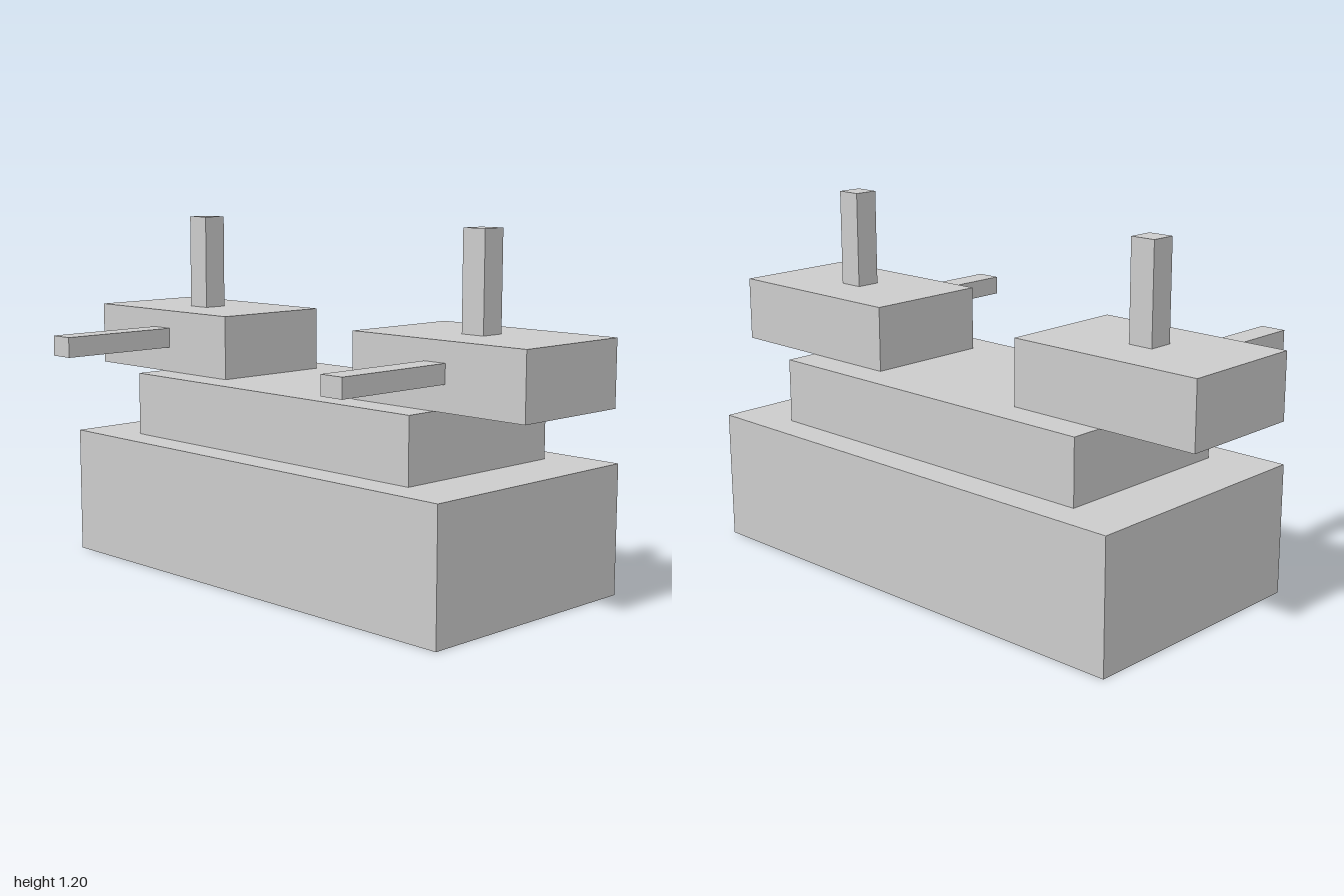
import * as THREE from 'three';

const material = new THREE.MeshStandardMaterial({ color: 0xcccccc, flatShading: true });

// Box given by its extents along each axis
function block(name, [x0, x1], [y0, y1], [z0, z1]) {
  const mesh = new THREE.Mesh(new THREE.BoxGeometry(x1 - x0, y1 - y0, z1 - z0), material);
  mesh.name = name;
  mesh.position.set((x0 + x1) / 2, (y0 + y1) / 2, (z0 + z1) / 2);
  return mesh;
}

export function createModel() {
  const model = new THREE.Group();
  model.name = 'twinTurretPlatform';

  // Stepped hull
  model.add(block('base', [-0.864, 0.864], [0, 0.437], [-0.545, 0.328]));
  model.add(block('upperDeck', [-0.65, 0.65], [0.437, 0.655], [-0.437, 0.219]));

  // A turret on each side, with a forward barrel and an upright mast
  for (const [side, inner, outer, mid, barrelTop] of [
    ['left', 0.306, 1, 0.651, 0.805],
    ['right', -1, -0.308, -0.656, 0.81],
  ]) {
    const turret = new THREE.Group();
    turret.name = side + 'Turret';
    const width = [mid - 0.0435, mid + 0.0435];
    turret.add(block(side + 'TurretBody', [inner, outer], [0.655, 0.873], [-0.327, 0.11]));
    turret.add(block(side + 'Barrel', width, [0.741, barrelTop], [0.1, 0.545]));
    turret.add(block(side + 'Mast', width, [0.865, 1.2], [-0.15, -0.064]));
    model.add(turret);
  }
  return model;
}
